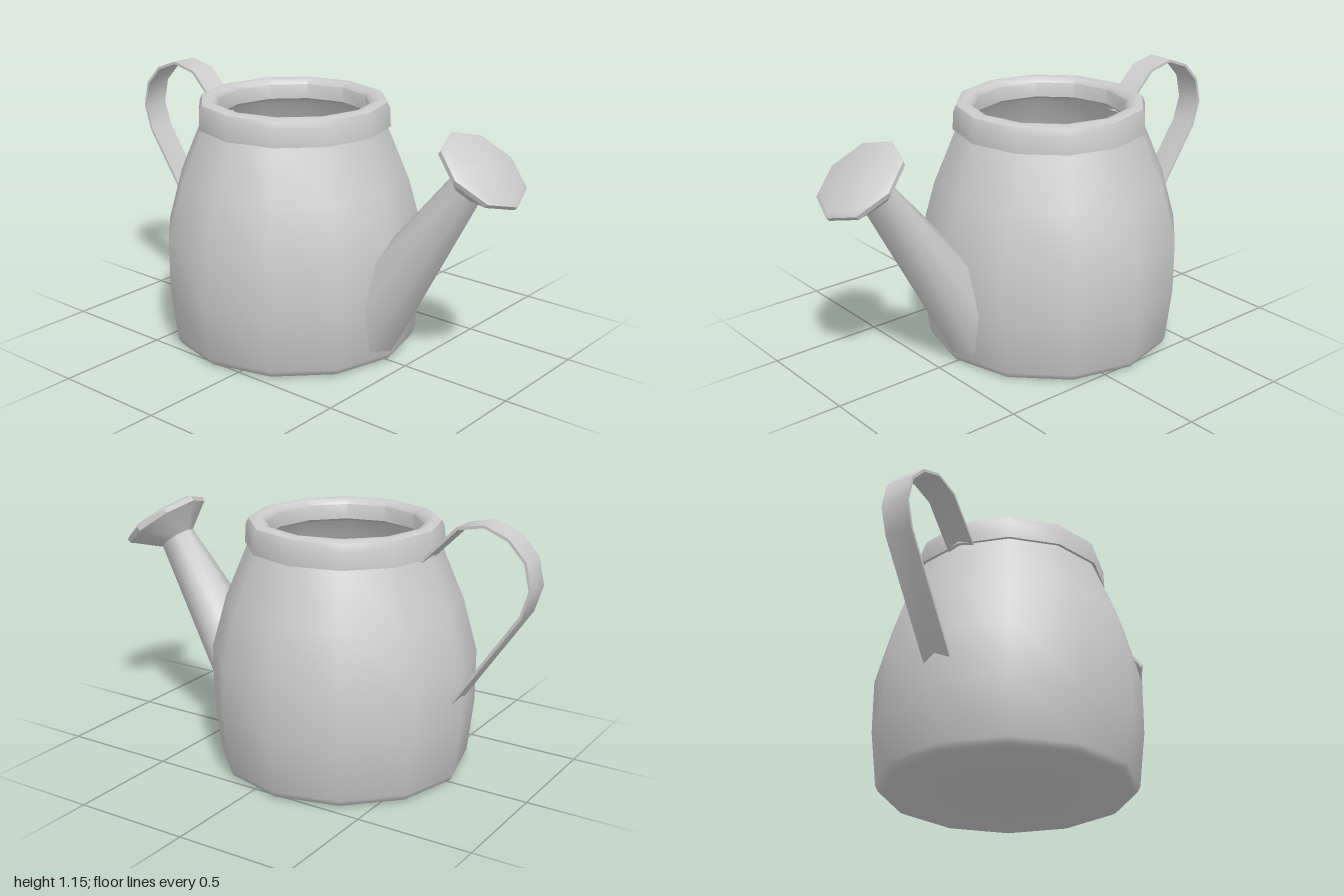
import * as THREE from 'three';
import { toCreasedNormals } from 'three/addons/utils/BufferGeometryUtils.js';

const material = new THREE.MeshStandardMaterial({ color: 0xcccccc, side: THREE.DoubleSide });
const CENTRE_Z = -0.12; // axis of the can

function part(name, geometry) {
  const mesh = new THREE.Mesh(geometry, material);
  mesh.name = name;
  return mesh;
}

// Low-poly turned shape, smooth except at strong edges
function turned(profile, sides, crease = 0.75) {
  const points = profile.map(([r, y]) => new THREE.Vector2(r, y));
  return toCreasedNormals(new THREE.LatheGeometry(points, sides), crease);
}

// Eight-sided tapering tube, its foot cut to follow the can wall
function spoutGeometry() {
  const sides = 8, positions = [], index = [];
  for (let i = 0; i < sides; i++) {
    const a = (i / sides) * Math.PI * 2, s = Math.sin(a), c = Math.cos(a);
    const foot = new THREE.Vector3(0.155 * s, 0.315 + 0.255 * c, 0.43);
    const neck = new THREE.Vector3(0.085 * s, 0.86 + 0.046 * c, 0.78 - 0.059 * c);
    foot.lerp(neck, -0.03 - 0.8 * Math.abs(foot.x));
    positions.push(...foot.toArray(), ...neck.toArray());
    const b = i * 2, n = ((i + 1) % sides) * 2;
    index.push(b, b + 1, n, n, b + 1, n + 1);
  }
  const geometry = new THREE.BufferGeometry();
  geometry.setAttribute('position', new THREE.Float32BufferAttribute(positions, 3));
  geometry.setIndex(index);
  geometry.computeVertexNormals();
  return geometry;
}

// Thin flat strap following a path in the z-y plane
function handleGeometry() {
  const width = 0.12, half = 0.006;
  const path = [
    [-0.5, 0.945], [-0.67, 1.115], [-0.785, 1.14], [-0.89, 1.1],
    [-0.965, 1.02], [-0.99, 0.91], [-0.955, 0.8], [-0.665, 0.375],
  ].map(([z, y]) => new THREE.Vector2(z, y));
  const offset = (side) => path.map((p, i) => {
    const t = path[Math.min(i + 1, path.length - 1)].clone().sub(path[Math.max(i - 1, 0)]).normalize();
    return new THREE.Vector2(p.x - t.y * side * half, p.y + t.x * side * half);
  });
  const shape = new THREE.Shape([...offset(1), ...offset(-1).reverse()]);
  const geometry = new THREE.ExtrudeGeometry(shape, { depth: width, bevelEnabled: false });
  geometry.rotateY(-Math.PI / 2).translate(width / 2, 0, 0);
  return toCreasedNormals(geometry, 0.9);
}

export function createModel() {
  const model = new THREE.Group();
  model.name = 'wateringCan';

  // Bulging twelve-sided can
  const body = part('body', turned([
    [0, 0], [0.51, 0], [0.53, 0.01], [0.542, 0.035], [0.568, 0.27],
    [0.568, 0.5], [0.505, 0.73], [0.405, 0.97],
  ], 12));

  // Inner wall and floor
  const inside = part('inside', turned([
    [0.335, 1.0], [0.385, 0.95], [0.48, 0.72], [0.54, 0.5],
    [0.54, 0.27], [0.515, 0.04], [0, 0.03],
  ], 12));

  // Rounded collar round the mouth
  const rim = part('rim', turned([
    [0.38, 0.965], [0.42, 0.965], [0.417, 1.04], [0.405, 1.07], [0.375, 1.08],
    [0.35, 1.075], [0.332, 1.055], [0.33, 0.99], [0.38, 0.965],
  ], 12));
  for (const mesh of [body, inside, rim]) mesh.position.z = CENTRE_Z;

  // Flared sprinkler head, tilted up and forward
  const head = part('sprinklerHead', turned([
    [0.08, -0.113], [0.18, -0.035], [0.195, -0.025], [0.198, -0.005], [0.175, 0.01], [0, 0.01],
  ], 8));
  head.position.set(0, 0.946, 0.853);
  head.rotation.x = 0.657;

  model.add(body, inside, rim, part('spout', spoutGeometry()), head, part('handle', handleGeometry()));
  return model;
}
